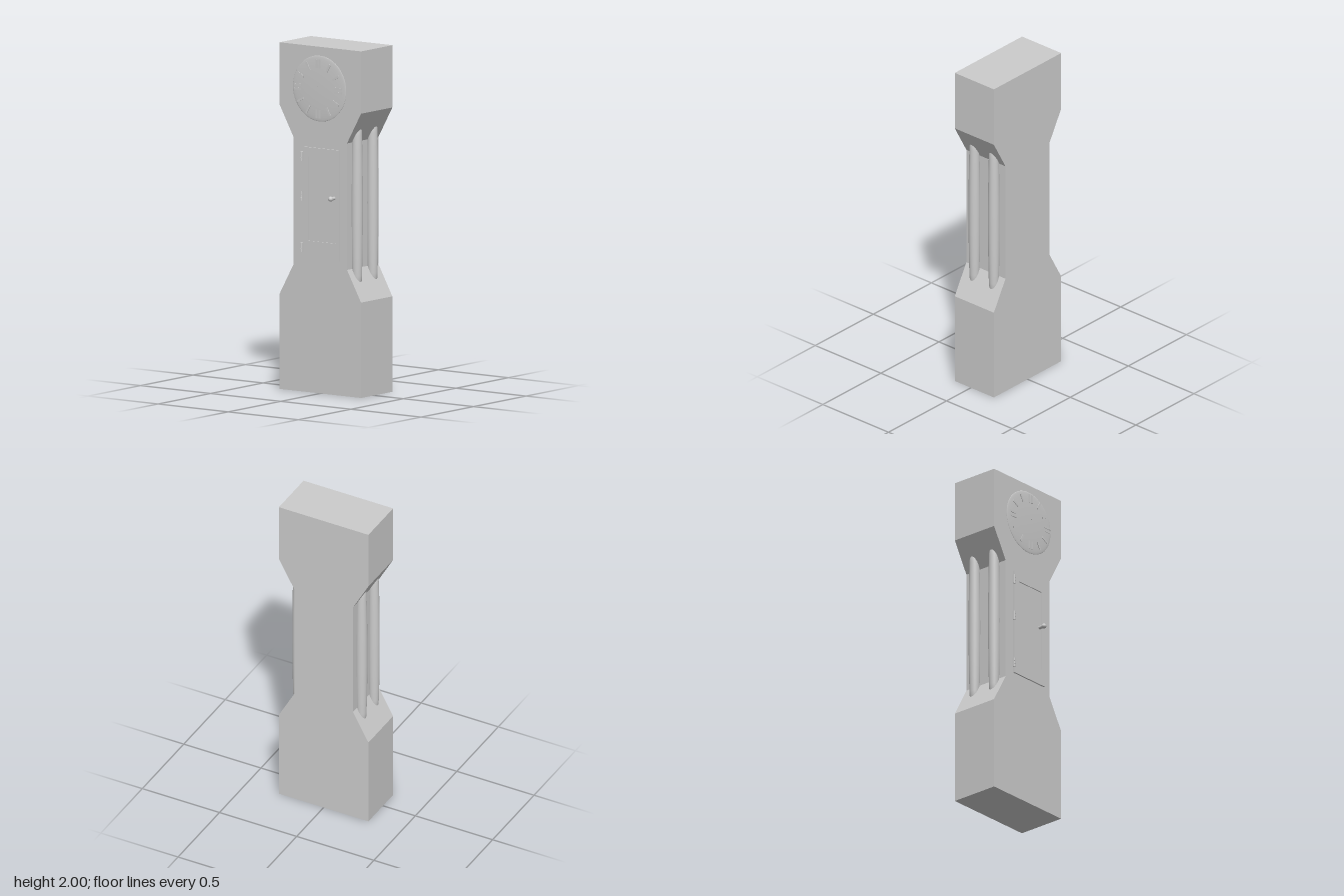
import * as THREE from 'three';

const FRONT = 0.123, BACK = -0.175;
const DIAL_Y = 1.76;

export function createModel() {
  const group = new THREE.Group();
  const material = new THREE.MeshStandardMaterial({ color: 0xcccccc });

  const add = (name, geometry, x = 0, y = 0, z = 0, parent = group) => {
    const mesh = new THREE.Mesh(geometry, material);
    mesh.name = name;
    mesh.position.set(x, y, z);
    parent.add(mesh);
    return mesh;
  };
  const rect = (Type, x0, y0, x1, y1) => new Type([
    new THREE.Vector2(x0, y0), new THREE.Vector2(x1, y0),
    new THREE.Vector2(x1, y1), new THREE.Vector2(x0, y1),
  ]);

  // Case: wide base and hood joined by a narrow waist
  const side = [[0.29, 0], [0.29, 0.55], [0.19, 0.73], [0.19, 1.46], [0.29, 1.64], [0.29, 2]];
  const outline = [...side, ...side.map(([x, y]) => [-x, y]).reverse()];
  const caseShape = new THREE.Shape(outline.map(([x, y]) => new THREE.Vector2(x, y)));
  add('clockCase', new THREE.ExtrudeGeometry(caseShape, { depth: FRONT - BACK, bevelEnabled: false }), 0, 0, BACK);

  // Slightly swollen columns, two on each side of the waist
  const profile = [new THREE.Vector2(0, 0.61)];
  for (let i = 0; i <= 12; i++) {
    const t = i / 12;
    profile.push(new THREE.Vector2(0.025 + 0.009 * Math.pow(Math.sin(Math.PI * t), 0.6), 0.61 + 0.97 * t));
  }
  profile.push(new THREE.Vector2(0, 1.58));
  const columnGeometry = new THREE.LatheGeometry(profile, 24);
  for (const x of [-0.205, 0.205]) {
    for (const z of [0.048, -0.1]) add('sideColumn', columnGeometry, x, 0, z);
  }

  // Door: raised frame around a recessed panel
  const door = new THREE.Group();
  door.name = 'door';
  group.add(door);
  const frame = rect(THREE.Shape, -0.125, 0.775, 0.14, 1.415);
  frame.holes.push(rect(THREE.Path, -0.08, 0.875, 0.115, 1.36));
  add('doorFrame', new THREE.ExtrudeGeometry(frame, { depth: 0.01, bevelEnabled: false }), 0, 0, FRONT - 0.001, door);
  add('doorPanel', new THREE.BoxGeometry(0.195, 0.485, 0.004), 0.0175, 1.1175, FRONT + 0.001, door);

  // Hinges: a leaf with a three-part barrel
  for (const y of [1.36, 1.13, 0.835]) {
    add('hingeLeaf', new THREE.BoxGeometry(0.022, 0.05, 0.005), -0.125, y, 0.132, door);
    for (const dy of [-0.019, 0, 0.019]) {
      add('hingeBarrel', new THREE.CylinderGeometry(0.006, 0.006, 0.017, 12), -0.127, y + dy, 0.134, door);
    }
  }

  // Door knob on a short stem
  const stem = add('knobStem', new THREE.CylinderGeometry(0.01, 0.01, 0.035, 16), 0.1, 1.135, 0.14, door);
  stem.rotation.x = Math.PI / 2;
  add('knob', new THREE.SphereGeometry(0.0145, 20, 14), 0.1, 1.135, 0.159, door);

  // Dial: a flattened lens
  const dial = add('dial', new THREE.SphereGeometry(0.19, 48, 24), 0, DIAL_Y, 0.13);
  dial.scale.z = 0.042;
  const centre = add('dialCentre', new THREE.CylinderGeometry(0.004, 0.004, 0.002, 12), 0, DIAL_Y + 0.015, 0.153);
  centre.rotation.x = Math.PI / 2;

  // Hour markers: single bars, with paired bars at the quarters
  for (let hour = 0; hour < 12; hour++) {
    const quarter = hour % 3 === 0;
    const marker = new THREE.Group();
    marker.name = 'hourMarker';
    marker.position.set(0, DIAL_Y, 0.1455);
    marker.rotation.z = -hour * Math.PI / 6;
    group.add(marker);
    for (const x of quarter ? [-0.012, 0.012] : [0]) {
      add('markerBar', new THREE.BoxGeometry(0.012, 0.05, 0.003), x, 0.145, 0, marker);
    }
  }

  return group;
}
